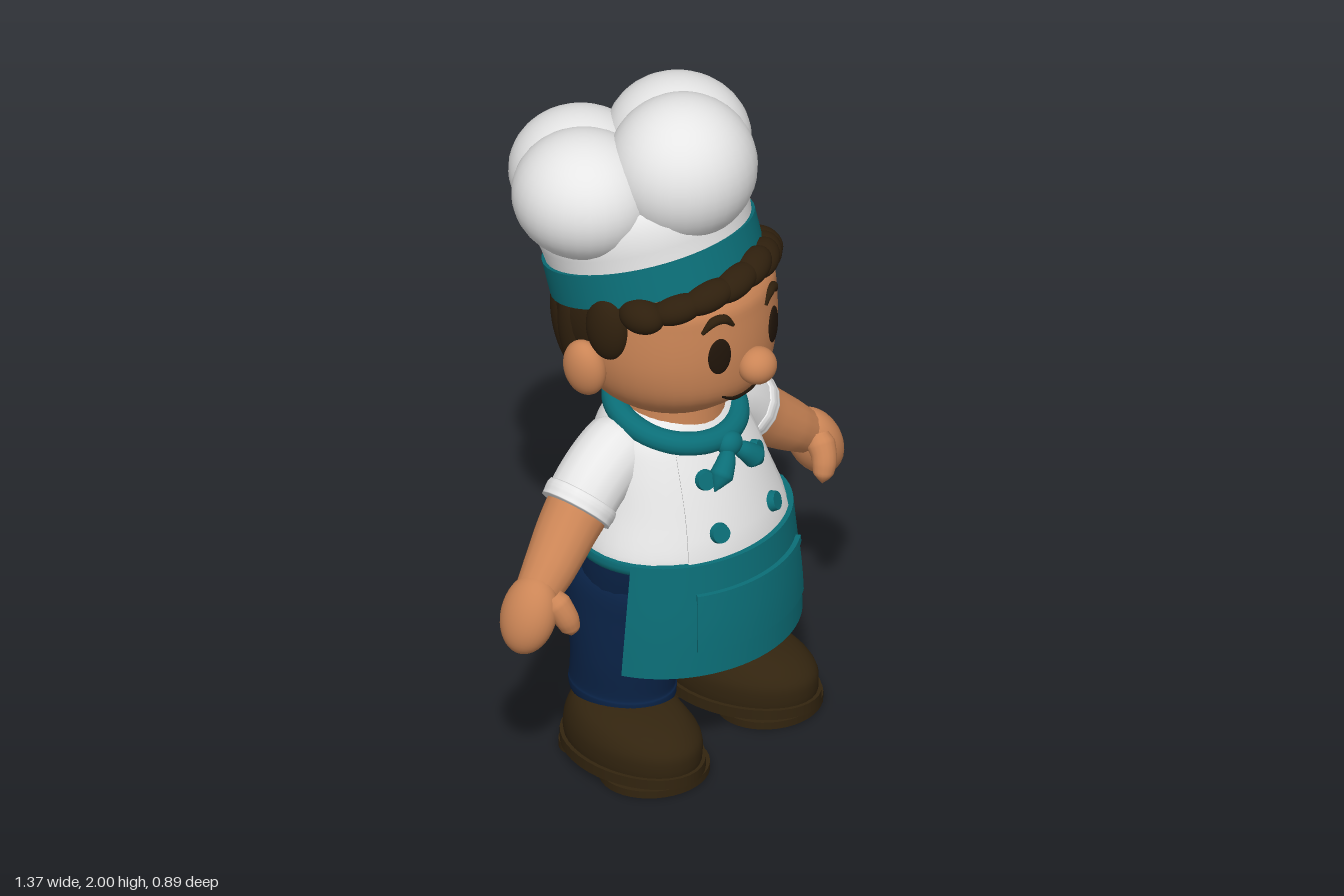
import * as THREE from 'three';
import { mergeVertices } from 'three/addons/utils/BufferGeometryUtils.js';

const mat = (name, color) => Object.assign(new THREE.MeshStandardMaterial({ color }), { name });

// rings are [y, rx, rz, cx, cz]; refine them with a Catmull-Rom spline
function refine(rings, n = 5) {
  const out = [], last = rings.length - 1;
  for (let i = 0; i < last; i++) {
    const [a, b, c, d] = [Math.max(i - 1, 0), i, i + 1, Math.min(i + 2, last)].map(k => rings[k]);
    for (let s = 0; s < n; s++) {
      const t = s / n;
      out.push(b.map((v, k) => {
        const w = 0.5 * (2 * v + (c[k] - a[k]) * t + (2 * a[k] - 5 * v + 4 * c[k] - d[k]) * t * t
          + (3 * v - a[k] - 3 * c[k] + d[k]) * t ** 3);
        return k === 1 || k === 2 ? Math.max(w, 0) : w;
      }));
    }
  }
  out.push(rings[last]);
  return out;
}

// point on a ring stack at angle a (0 = front) and height y
function surf(rings, a, y, lift = 0) {
  let i = 0;
  while (i < rings.length - 2 && rings[i + 1][0] < y) i++;
  const t = THREE.MathUtils.clamp((y - rings[i][0]) / (rings[i + 1][0] - rings[i][0]), 0, 1);
  const [, rx, rz, cx, cz] = rings[i].map((v, k) => v + (rings[i + 1][k] - v) * t);
  return new THREE.Vector3(cx + (rx + lift) * Math.sin(a), y, cz + (rz + lift) * Math.cos(a));
}

// closed smooth skin over refined rings
function loft(rings, sides = 36) {
  const pos = [], idx = [];
  rings.forEach(([y, rx, rz, cx, cz], j) => {
    for (let i = 0; i < sides; i++) {
      const a = i / sides * Math.PI * 2;
      pos.push(cx + rx * Math.sin(a), y, cz + rz * Math.cos(a));
      if (j < rings.length - 1) {
        const p = j * sides + i, q = j * sides + (i + 1) % sides;
        idx.push(p, q, p + sides, q, q + sides, p + sides);
      }
    }
  });
  const g = new THREE.BufferGeometry();
  g.setAttribute('position', new THREE.Float32BufferAttribute(pos, 3));
  g.setIndex(idx);
  g.computeVertexNormals();
  return g;
}

// slab bent around a ring stack, from angle -A to A
function wrap(rings, A, y0, y1, in_, out_, segs = 40) {
  const g = new THREE.BoxGeometry(1, 1, 1, segs, 8, 1), p = g.attributes.position;
  for (let i = 0; i < p.count; i++) {
    const v = surf(rings, p.getX(i) * 2 * A, y0 + (p.getY(i) + 0.5) * (y1 - y0), in_ + (p.getZ(i) + 0.5) * (out_ - in_));
    p.setXYZ(i, v.x, v.y, v.z);
  }
  g.computeVertexNormals();
  return g;
}

// tube whose radius varies along the path
function limb(points, radii, segs = 24) {
  const curve = new THREE.CatmullRomCurve3(points.map(p => new THREE.Vector3(...p)));
  const g = new THREE.TubeGeometry(curve, segs, 1, 16), p = g.attributes.position, v = new THREE.Vector3();
  for (let i = 0; i < p.count; i++) {
    const t = Math.floor(i / 17) / segs, c = curve.getPointAt(t);
    const f = t * (radii.length - 1), k = Math.min(Math.floor(f), radii.length - 2);
    v.fromBufferAttribute(p, i).sub(c).multiplyScalar(THREE.MathUtils.lerp(radii[k], radii[k + 1], f - k)).add(c);
    p.setXYZ(i, v.x, v.y, v.z);
  }
  g.deleteAttribute('uv');
  g.deleteAttribute('normal');
  const m = mergeVertices(g, 1e-5);
  m.computeVertexNormals();
  return m;
}

export function createModel() {
  const root = new THREE.Group();
  const skin = mat('skin', 0xcb8556), white = mat('white cloth', 0xe6e6e6), teal = mat('teal cloth', 0x0b6e77);
  const navy = mat('navy trousers', 0x0a2347), hair = mat('dark brown hair', 0x2e1f0d);
  const leather = mat('shoe leather', 0x32240f), ink = mat('eye brown', 0x21150a);
  const add = (name, geo, m, pos = [0, 0, 0], parent = root) => {
    const mesh = new THREE.Mesh(geo, m);
    mesh.name = name;
    mesh.position.set(...pos);
    parent.add(mesh);
    return mesh;
  };
  const ball = (name, m, pos, r, parent) => {
    const b = add(name, new THREE.SphereGeometry(1, 32, 22), m, pos, parent);
    b.scale.set(...r);
    b.rotation.order = 'YXZ';
    return b;
  };

  // head and face
  const head = refine([[1.05, 0, 0, 0, 0.1], [1.06, 0.1, 0.1, 0, 0.1], [1.1, 0.19, 0.19, 0, 0.09], [1.17, 0.255, 0.265, 0, 0.09],
    [1.27, 0.285, 0.287, 0, 0.09], [1.4, 0.285, 0.285, 0, 0.09], [1.47, 0.27, 0.27, 0, 0.09], [1.54, 0.2, 0.2, 0, 0.08], [1.58, 0, 0, 0, 0.08]]);
  add('head', loft(head), skin);
  add('neck', new THREE.CylinderGeometry(0.14, 0.15, 0.14, 28), skin, [0, 1.04, 0.09]);
  ball('nose', skin, [0, 1.26, 0.395], [0.057, 0.053, 0.053]);
  add('mouth', limb([-0.36, -0.18, 0, 0.18, 0.36].map(a => surf(head, a, 1.145 + a * a * 0.28).toArray()), [0.003, 0.008, 0.008, 0.003]), ink);
  for (const s of [-1, 1]) {
    ball('eye', ink, surf(head, s * 0.405, 1.325).toArray(), [0.035, 0.056, 0.009]).rotation.y = s * 0.405;
    add('eyebrow', limb([[0.24, 1.41], [0.34, 1.437], [0.46, 1.437], [0.58, 1.405]].map(([a, y]) => surf(head, s * a, y).toArray()),
      [0.005, 0.014, 0.014, 0.005]), hair);
    ball('ear', skin, [s * 0.305, 1.25, 0.03], [0.05, 0.086, 0.066]).rotation.z = -s * 0.12;
    ball('sideburn', hair, [s * 0.275, 1.39, 0.09], [0.05, 0.1, 0.07]);
    ball('templeCurl', hair, [s * 0.25, 1.455, 0.19], [0.055, 0.05, 0.07]);
  }

  // hair: cap, hanging locks at the back and a fringe under the hat
  ball('hairCap', hair, [0, 1.36, 0], [0.285, 0.265, 0.24]);
  for (let i = 0; i < 8; i++) {
    const a = Math.PI + (i - 3.5) * 0.35;
    const lock = ball('hairLock', hair, [0.225 * Math.sin(a), 1.275, 0.01 + 0.195 * Math.cos(a)], [0.065, 0.175, 0.065]);
    lock.rotation.set(0.2, a, 0);
  }
  for (const [a, y, r] of [[-0.72, 1.475, 0.07], [-0.4, 1.497, 0.075], [-0.08, 1.51, 0.075], [0.22, 1.52, 0.07], [0.5, 1.505, 0.065], [0.76, 1.485, 0.06]]) {
    const f = ball('fringe', hair, [0.28 * Math.sin(a), y, 0.06 + 0.268 * Math.cos(a)], [r * 1.1, 0.042, 0.05]);
    f.rotation.set(0, a, 0.25);
  }

  // hat leaning back, with four puffs
  const hat = new THREE.Group();
  hat.name = 'hat';
  hat.position.set(0, 1.435, 0.03);
  hat.rotation.x = -0.32;
  root.add(hat);
  const lathe = pts => new THREE.LatheGeometry(pts.map(p => new THREE.Vector2(...p)), 48);
  add('hatBand', new THREE.CylinderGeometry(0.303, 0.303, 0.1, 48), teal, [0, 0.05, 0], hat);
  add('hatCrown', lathe([[0.292, 0.09], [0.298, 0.14], [0.31, 0.2], [0.29, 0.25], [0.2, 0.3], [0, 0.32]]), white, [0, 0, 0], hat);
  ball('hatPuff', white, [0, 1.795, 0.122], [0.212, 0.205, 0.207]);
  ball('hatPuff', white, [0, 1.64, -0.247], [0.2, 0.175, 0.2]);
  for (const s of [-1, 1]) ball('hatPuff', white, [s * 0.198, 1.725, -0.062], [0.2, 0.178, 0.205]);

  // jacket with overlapping front panel and buttons
  const torso = refine([[0.64, 0.31, 0.25, 0, 0.115], [0.68, 0.325, 0.262, 0, 0.12], [0.8, 0.285, 0.24, 0, 0.105], [0.92, 0.25, 0.21, 0, 0.085],
    [1.0, 0.215, 0.175, 0, 0.075], [1.05, 0.15, 0.13, 0, 0.07], [1.07, 0, 0, 0, 0.07]]);
  add('jacket', loft(torso), white);
  add('frontPanel', wrap(torso, 0.69, 0.67, 0.97, -0.01, 0.009), white);
  for (const s of [-1, 1]) for (const [a, y] of [[0.37, 0.755], [0.41, 0.9]]) {
    const b = add('button', new THREE.CylinderGeometry(0.026, 0.031, 0.024, 24).rotateX(Math.PI / 2), teal, surf(torso, s * a, y, 0.014).toArray());
    b.rotation.set(-0.3, s * a, 0, 'YXZ');
  }

  // neckerchief
  const loop = Array.from({ length: 16 }, (_, i) => {
    const a = i / 8 * Math.PI, c = Math.cos(a);
    return new THREE.Vector3(0.175 * Math.sin(a), 1.025 - 0.045 * c, 0.097 + 0.168 * c);
  });
  add('neckerchief', new THREE.TubeGeometry(new THREE.CatmullRomCurve3(loop, true), 64, 0.034, 14, true), teal);
  ball('neckerchiefKnot', teal, [0, 0.968, 0.295], [0.04, 0.036, 0.032]);
  for (const s of [-1, 1]) {
    add('neckerchiefTail', limb([[0, 0.965, 0.29], [s * 0.04, 0.935, 0.315], [s * 0.08, 0.895, 0.325], [s * 0.1, 0.868, 0.325]],
      [0.012, 0.026, 0.034, 0]), teal);
  }

  // sleeves, arms and hands
  for (const s of [-1, 1]) {
    add('sleeve', limb([[s * 0.08, 0.95, 0.05], [s * 0.2, 0.93, 0.045], [s * 0.29, 0.882, 0.045], [s * 0.355, 0.825, 0.045]],
      [0.06, 0.105, 0.103, 0.1]), white);
    const cuff = [[0.32, 0.859], [0.322, 0.857], [0.335, 0.845], [0.365, 0.817], [0.37, 0.812]].map(([x, y]) => [s * x, y, 0.045]);
    add('sleeveCuff', limb(cuff, [0, 0.104, 0.108, 0.108, 0.106, 0.106, 0]), white);
    add('arm', limb([[s * 0.3, 0.87, 0.045], [s * 0.39, 0.795, 0.05], [s * 0.5, 0.71, 0.07], [s * 0.58, 0.65, 0.08]],
      [0.085, 0.09, 0.083, 0.074, 0.06]), skin);
    ball('hand', skin, [s * 0.605, 0.615, 0.085], [0.07, 0.115, 0.082]).rotation.z = s * 0.4;
    add('thumb', limb([[s * 0.565, 0.67, 0.13], [s * 0.55, 0.62, 0.165], [s * 0.535, 0.575, 0.175], [s * 0.53, 0.545, 0.175]],
      [0.03, 0.04, 0.036, 0.034, 0.028, 0]), skin);
  }

  // trousers
  add('hips', loft(refine([[0.39, 0, 0, 0, 0.07], [0.43, 0.2, 0.15, 0, 0.07], [0.5, 0.285, 0.215, 0, 0.08], [0.58, 0.305, 0.238, 0, 0.095],
    [0.67, 0.308, 0.245, 0, 0.115]])), navy);
  for (const s of [-1, 1]) {
    add('trouserLeg', loft(refine([[0.16, 0.11, 0.13, s * 0.18, 0.06], [0.17, 0.13, 0.155, s * 0.18, 0.06], [0.2, 0.136, 0.16, s * 0.18, 0.06],
      [0.22, 0.133, 0.157, s * 0.18, 0.06], [0.32, 0.145, 0.165, s * 0.175, 0.07], [0.45, 0.155, 0.195, s * 0.162, 0.07],
      [0.56, 0.145, 0.21, s * 0.155, 0.08], [0.62, 0.08, 0.12, s * 0.15, 0.09]])), navy);

    // shoe with welted sole, tread and heel
    const shoe = new THREE.Group();
    shoe.name = 'shoe';
    shoe.position.set(s * 0.23, 0, 0.14);
    shoe.rotation.y = s * 0.14;
    root.add(shoe);
    add('shoeUpper', loft(refine([[0.03, 0.15, 0.225, 0, 0], [0.07, 0.157, 0.232, 0, 0], [0.115, 0.155, 0.225, 0, 0], [0.155, 0.137, 0.195, 0, -0.015],
      [0.18, 0.115, 0.155, -s * 0.01, -0.04], [0.195, 0.08, 0.1, -s * 0.02, -0.06], [0.2, 0, 0, -s * 0.02, -0.06]])), leather, [0, 0, 0], shoe);
    const sole = (name, rx, rz, h, y, z) => {
      add(name, new THREE.CylinderGeometry(1, 1, h, 40), leather, [0, y, z], shoe).scale.set(rx, 1, rz);
    };
    sole('sole', 0.166, 0.24, 0.032, 0.036, 0);
    sole('soleTread', 0.16, 0.145, 0.022, 0.011, 0.09);
    sole('heel', 0.125, 0.085, 0.022, 0.011, -0.145);
  }

  // apron, pocket, waist tie and bow
  const apron = refine([[0.345, 0.36, 0.318, 0, 0.1], [0.5, 0.348, 0.302, 0, 0.11], [0.69, 0.325, 0.272, 0, 0.12]]);
  add('apron', wrap(apron, 1.25, 0.345, 0.685, -0.012, 0.012), teal);
  add('pocket', wrap(apron, 0.64, 0.425, 0.595, 0, 0.021), teal);
  add('pocketHem', wrap(apron, 0.645, 0.58, 0.6, 0, 0.026), teal);
  add('waistTie', wrap(torso, Math.PI, 0.65, 0.685, -0.015, 0.012, 64), teal);
  ball('bowKnot', teal, [0, 0.665, -0.165], [0.028, 0.028, 0.024]);
  for (const s of [-1, 1]) {
    const bow = ball('bowLoop', teal, [s * 0.06, 0.672, -0.165], [0.055, 0.03, 0.022]);
    bow.rotation.z = s * 0.25;
    add('bowTail', limb([[0, 0.665, -0.165], [s * 0.03, 0.6, -0.185], [s * 0.05, 0.53, -0.19], [s * 0.065, 0.465, -0.2]],
      [0.012, 0.018, 0.022, 0.024, 0]), teal);
  }
  return root;
}
